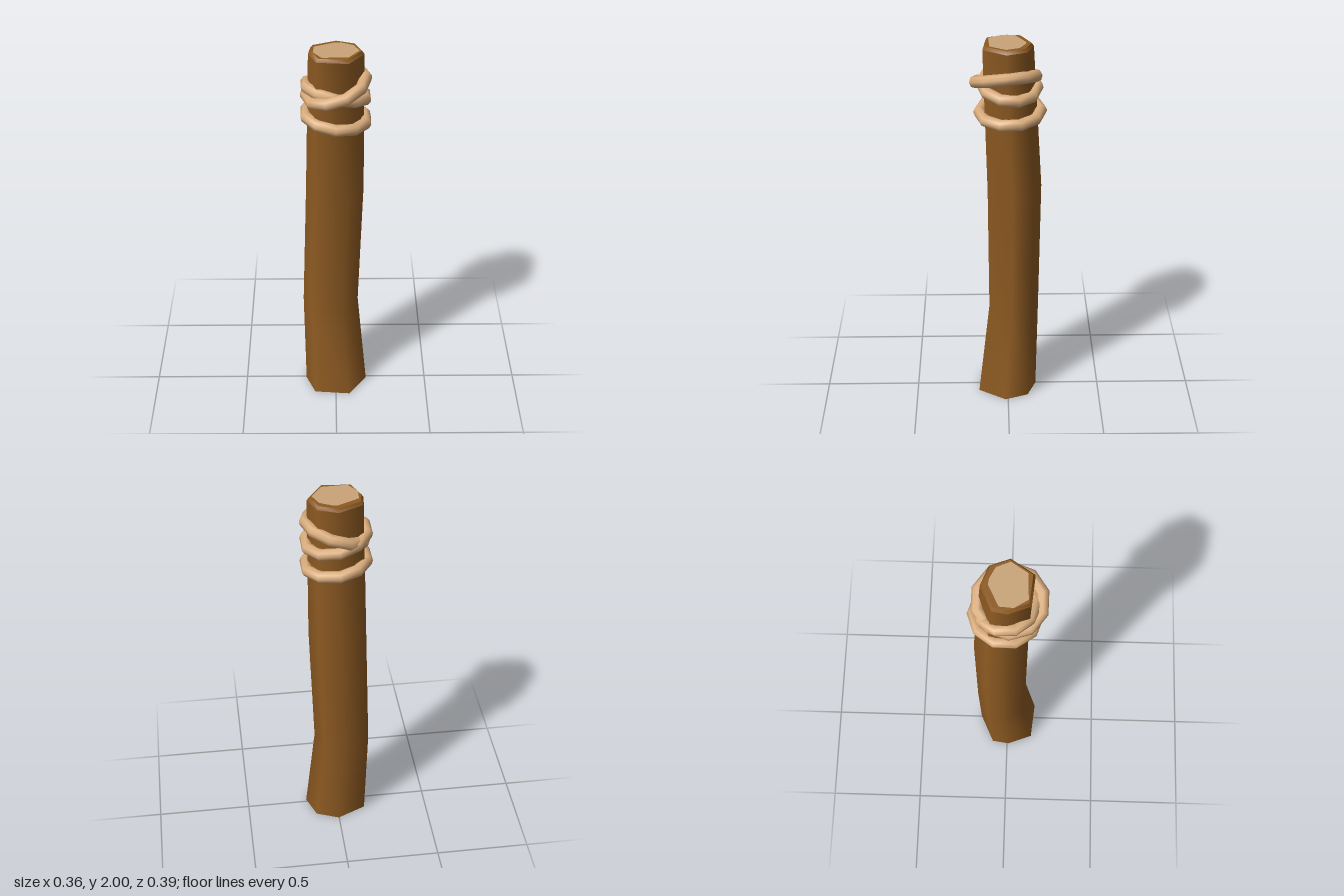
import * as THREE from 'three';

// Irregular seven-sided outline of the trunk, as fractions of its half width and depth
const OUTLINE = [[0, -1], [0.72, -0.7], [1, 0.08], [0.43, 1], [-0.7, 0.88], [-1, 0.04], [-0.92, -0.55]];
// Pale cut face outline in x, z
const CUT = [[0, -0.092], [0.03, -0.088], [0.088, -0.058], [0.117, 0.01], [0.062, 0.092],
  [-0.07, 0.097], [-0.113, 0.03], [-0.108, -0.04]];

const ring = ([y, cx, hx, cz, hz]) => OUTLINE.map(([u, v]) => [cx + u * hx, y, cz + v * hz]);

function geometry(points, index) {
  const g = new THREE.BufferGeometry();
  g.setAttribute('position', new THREE.Float32BufferAttribute(points.flat(), 3));
  g.setIndex(index);
  g.computeVertexNormals();
  return g;
}

// Smooth skin through a stack of rings
function loft(levels) {
  const n = OUTLINE.length, index = [];
  for (let i = 0; i < levels.length - 1; i++) {
    for (let j = 0; j < n; j++) {
      const a = i * n + j, b = i * n + (j + 1) % n;
      index.push(a, a + n, b + n, a, b + n, b);
    }
  }
  return geometry(levels.flatMap(ring), index);
}

// Flat polygon facing up or down
function cap(points, up) {
  const index = [];
  for (let j = 1; j < points.length - 1; j++) index.push(0, ...(up ? [j + 1, j] : [j, j + 1]));
  return geometry(points, index);
}

export function createModel() {
  const group = new THREE.Group();
  const material = (name, color) => {
    const m = new THREE.MeshStandardMaterial({ color });
    m.name = name;
    return m;
  };
  const bark = material('bark brown', 0x8d5a22);
  const cutWood = material('cut wood', 0xc9a478);
  const rope = material('rope tan', 0xd9ac7c);
  const add = (name, geo, mat) => {
    const mesh = new THREE.Mesh(geo, mat);
    mesh.name = name;
    group.add(mesh);
  };

  // Slightly crooked trunk: y, centre x, half width, centre z, half depth
  const levels = [
    [0, 0.002, 0.167, 0.002, 0.157],
    [0.52, -0.028, 0.148, -0.033, 0.133],
    [1.22, -0.005, 0.15, -0.035, 0.14],
    [1.98, 0.002, 0.139, -0.002, 0.128],
  ];
  const rim = [1.997, 0.002, 0.127, -0.002, 0.117];
  add('trunk', loft(levels), bark);
  add('trunkBevel', loft([levels[3], rim]), bark);
  add('trunkTop', cap(ring(rim), true), bark);
  add('trunkBase', cap(ring(levels[0]), false), bark);
  add('cutFace', cap(CUT.map(([x, z]) => [x, 2, z]), true), cutWood);

  // Tilted rope loops: y, slope along x, slope along z, turn, centre z, depth scale
  const loops = [
    ['lowerRope', 1.635, -0.12, -0.03, Math.PI / 10, -0.012, 1],
    ['middleRope', 1.778, -0.22, 0.1, Math.PI / 10, -0.008, 0.92],
    ['upperRope', 1.81, 0.32, -0.1, 0, 0.01, 1.03],
  ];
  for (const [name, y, sx, sz, turn, cz, depth] of loops) {
    const tilt = new THREE.Quaternion().setFromUnitVectors(
      new THREE.Vector3(0, 1, 0), new THREE.Vector3(-sx, 1, -sz).normalize());
    const geo = new THREE.TorusGeometry(0.157, 0.031, 8, 10)
      .rotateX(Math.PI / 2).rotateY(turn).scale(1, 1, depth)
      .applyQuaternion(tilt).translate(0, y, cz);
    add(name, geo, rope);
  }
  return group;
}
